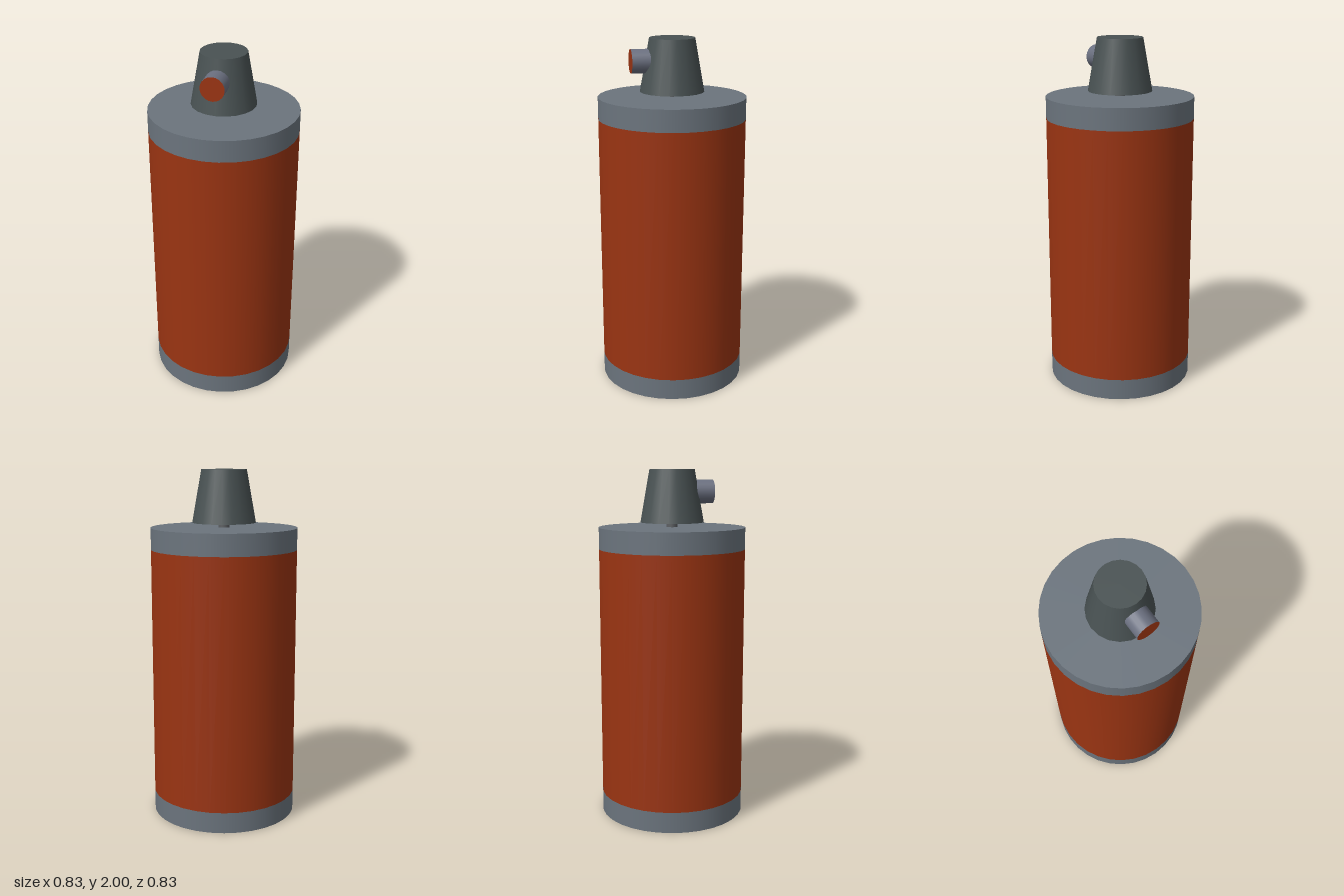
import * as THREE from 'three';

const paint = (name, color) => {
  const m = new THREE.MeshStandardMaterial({ color });
  m.name = name;
  return m;
};

export function createModel() {
  const group = new THREE.Group();
  const orange = paint('burnt orange', 0x9a3412);
  const steel = paint('steel grey', 0x6b747d);
  const dark = paint('dark grey', 0x495253);
  const pipe = paint('pipe grey', 0x6b7080);
  const stemGrey = paint('stem grey', 0x5c5f62);

  // Upright round part between two heights
  const round = (name, rTop, rBottom, y0, y1, sides, material) => {
    const mesh = new THREE.Mesh(new THREE.CylinderGeometry(rTop, rBottom, y1 - y0, sides), material);
    mesh.name = name;
    mesh.position.y = (y0 + y1) / 2;
    group.add(mesh);
    return mesh;
  };

  // Canister with a rim at each end
  const R = 0.417;
  round('bottomRim', R, R, 0, 0.12, 32, steel);
  round('body', R, R, 0.12, 1.555, 32, orange);
  round('topRim', R, R, 1.555, 1.677, 32, steel);

  // Short stem carrying the tapered valve cap
  round('stem', 0.032, 0.032, 1.66, 1.72, 16, stemGrey);
  round('valveCap', 0.128, 0.181, 1.704, 2, 20, dark);

  // Nozzle facing forward: side and back in grey, front end in orange
  const nozzle = new THREE.Mesh(
    new THREE.CylinderGeometry(0.067, 0.067, 0.128, 20), [pipe, orange, pipe]);
  nozzle.name = 'nozzle';
  nozzle.rotation.x = Math.PI / 2;
  nozzle.position.set(0, 1.875, 0.17);
  group.add(nozzle);

  return group;
}
